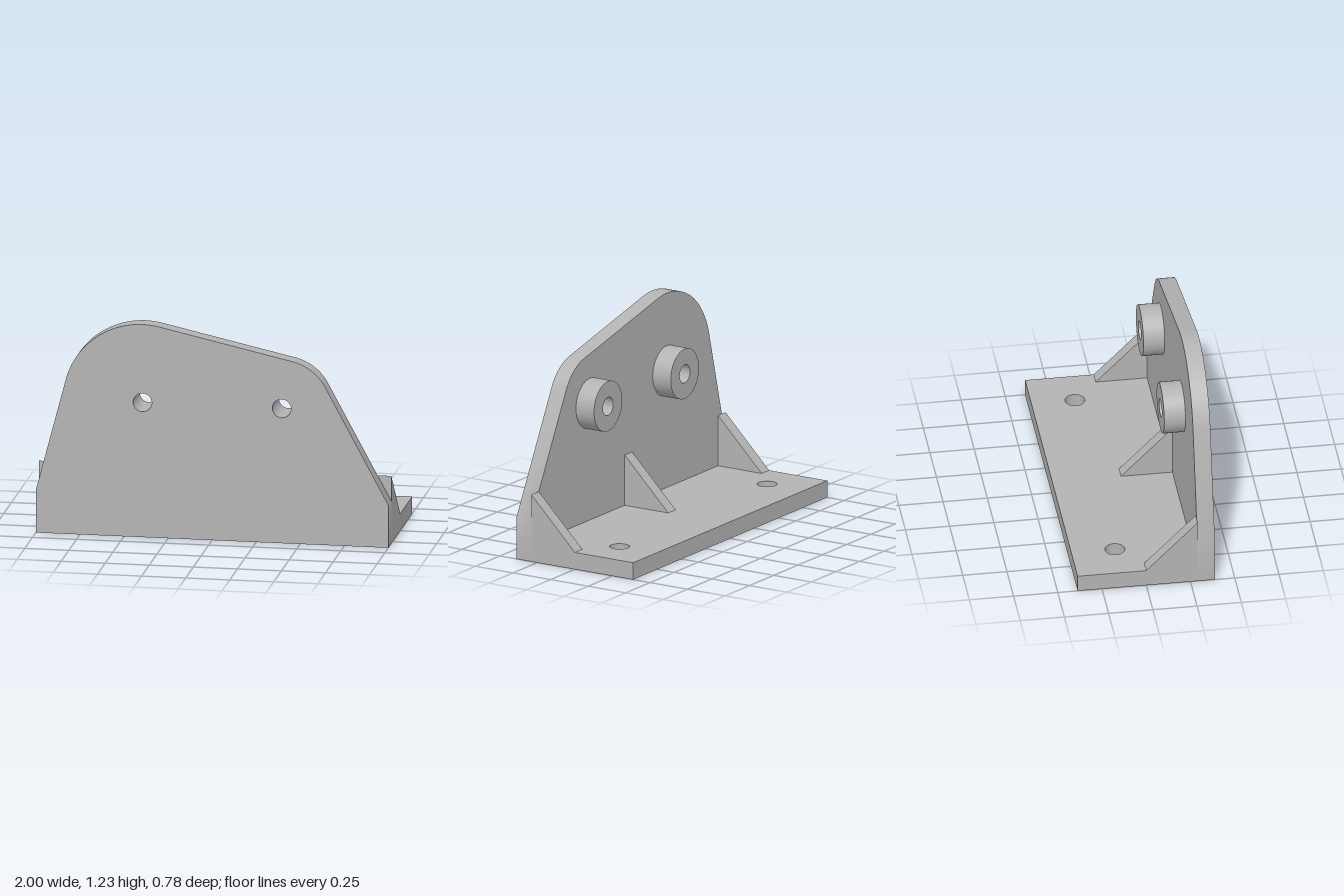
import * as THREE from 'three';
import { toCreasedNormals } from 'three/addons/utils/BufferGeometryUtils.js';

const BASE_H = 0.098, DEPTH = 0.388, PLATE_BACK = 0.29;
const HOLE_X = 0.395, HOLE_Y = 0.777;

function addHole(shape, x, y, r) {
  shape.holes.push(new THREE.Path().absarc(x, y, r, 0, Math.PI * 2, true));
}

function extrude(shape, depth) {
  const geo = new THREE.ExtrudeGeometry(shape, { depth, bevelEnabled: false, curveSegments: 32 });
  return toCreasedNormals(geo, 0.6);
}

// Upright outline: straight sides tangent to two arcs centred on the bolt holes
function plateShape() {
  const shoulder = 0.245, rL = 0.45, rR = 0.28;
  const dx = 1 - HOLE_X, dy = HOLE_Y - shoulder, d = Math.hypot(dx, dy);
  const down = Math.atan2(dy, dx);
  const right = -down + Math.acos(rR / d);
  const top = Math.acos((rL - rR) / (2 * HOLE_X));
  const left = Math.PI + down - Math.acos(rL / d);
  const s = new THREE.Shape();
  s.moveTo(-1, 0);
  s.lineTo(1, 0);
  s.lineTo(1, shoulder);
  s.absarc(HOLE_X, HOLE_Y, rR, right, top, false);
  s.absarc(-HOLE_X, HOLE_Y, rL, top, left, false);
  s.lineTo(-1, shoulder);
  s.closePath();
  for (const x of [-HOLE_X, HOLE_X]) addHole(s, x, HOLE_Y, 0.053);
  return s;
}

// Base outline, drawn in x and -z
function baseShape() {
  const s = new THREE.Shape([
    new THREE.Vector2(-1, -PLATE_BACK), new THREE.Vector2(1, -PLATE_BACK),
    new THREE.Vector2(1, DEPTH), new THREE.Vector2(-1, DEPTH),
  ]);
  for (const x of [-0.76, 0.76]) addHole(s, x, 0.142, 0.056);
  return s;
}

export function createModel() {
  const group = new THREE.Group();
  const grey = new THREE.MeshStandardMaterial({ color: 0xb3b3b3 });
  grey.name = 'grey metal';
  const add = (name, geo) => {
    const mesh = new THREE.Mesh(geo, grey);
    mesh.name = name;
    group.add(mesh);
    return mesh;
  };

  add('uprightPlate', extrude(plateShape(), DEPTH - PLATE_BACK)).position.z = PLATE_BACK;
  add('basePlate', extrude(baseShape(), BASE_H).rotateX(-Math.PI / 2));

  // Hollow bosses behind the upright
  const ring = new THREE.Shape().absarc(0, 0, 0.145, 0, Math.PI * 2, false);
  addHole(ring, 0, 0, 0.053);
  const bossGeo = extrude(ring, 0.12);
  for (const [side, x] of [['right', -HOLE_X], ['left', HOLE_X]]) {
    add(side + 'Boss', bossGeo).position.set(x, HOLE_Y, PLATE_BACK - 0.12);
  }

  // Triangular stiffening ribs, profile drawn in z and y
  const rib = new THREE.Shape([
    new THREE.Vector2(0, BASE_H), new THREE.Vector2(PLATE_BACK, BASE_H),
    new THREE.Vector2(PLATE_BACK, 0.39),
  ]);
  const ribWidth = 0.077;
  const ribGeo = extrude(rib, ribWidth).rotateY(-Math.PI / 2).translate(ribWidth / 2, 0, 0);
  const ends = 1 - ribWidth / 2;
  for (const [name, x] of [['rightRib', -ends], ['middleRib', 0], ['leftRib', ends]]) {
    add(name, ribGeo).position.x = x;
  }
  return group;
}
